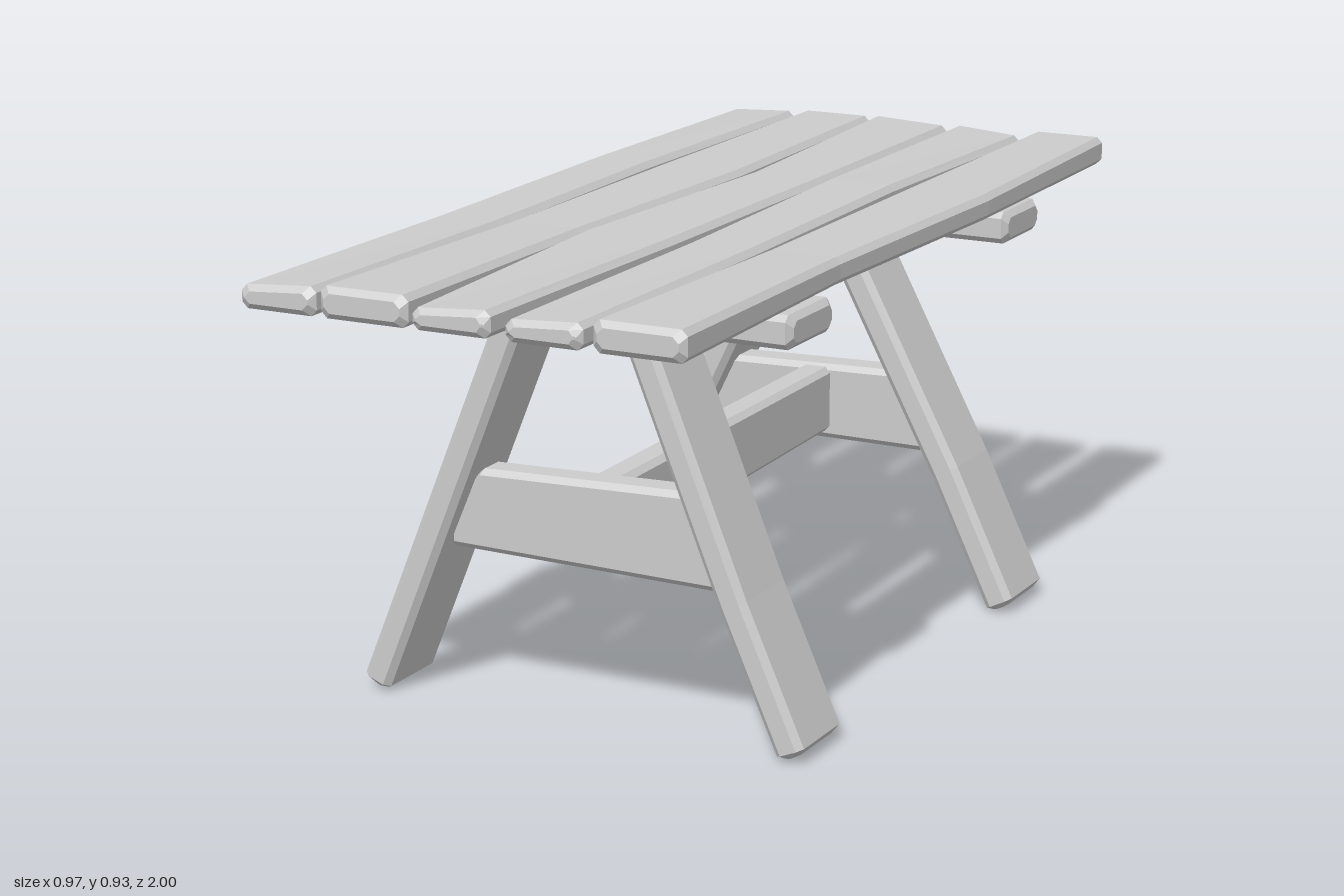
import * as THREE from 'three';

const material = new THREE.MeshStandardMaterial({ color: 0xcccccc, flatShading: true, side: THREE.DoubleSide });

// Chamfered board running along axis s through stations
// [s, a0, a1, b0, b1, skew, tilt]: a and b are the section ranges,
// skew slants the cut across a, tilt raises the top face along a.
// axes names the world axes used for a, b and s, such as 'xyz'.
function board(name, axes, stations, bevel = 0.012) {
  const ring = ([s, a0, a1, b0, b1, skew = 0, tilt = 0], inset, ds) => {
    const ac = (a0 + a1) / 2, bc = (b0 + b1) / 2, c = bevel;
    const l = a0 + inset, r = a1 - inset, d = b0 + inset, u = b1 - inset;
    const section = [[l + c, d], [r - c, d], [r, d + c], [r, u - c], [r - c, u], [l + c, u], [l, u - c], [l, d + c]];
    return section.map(([a, b]) => {
      const local = [a, b + (b > bc ? tilt * (a - ac) : 0), s + ds + skew * (a - ac)];
      return [...'xyz'].map((k) => local[axes.indexOf(k)]);
    });
  };
  const first = stations[0], last = stations[stations.length - 1];
  const rings = [
    ring(first, bevel, 0), ring(first, 0, bevel),
    ...stations.slice(1, -1).map((st) => ring(st, 0, 0)),
    ring(last, 0, -bevel), ring(last, bevel, 0),
  ];
  const flip = !['xyz', 'yzx', 'zxy'].includes(axes);
  const points = [];
  const tri = (p, q, r) => points.push(...p, ...(flip ? r : q), ...(flip ? q : r));
  for (let i = 0; i < rings.length - 1; i++) {
    for (let j = 0; j < 8; j++) {
      const k = (j + 1) % 8;
      tri(rings[i][j], rings[i][k], rings[i + 1][k]);
      tri(rings[i][j], rings[i + 1][k], rings[i + 1][j]);
    }
  }
  const end = rings[rings.length - 1];
  for (let j = 1; j < 7; j++) {
    tri(rings[0][0], rings[0][j + 1], rings[0][j]);
    tri(end[0], end[j], end[j + 1]);
  }
  const geometry = new THREE.BufferGeometry();
  geometry.setAttribute('position', new THREE.Float32BufferAttribute(points, 3));
  geometry.computeVertexNormals();
  const mesh = new THREE.Mesh(geometry, material);
  mesh.name = name;
  return mesh;
}

// Leg from foot to top; path holds [y, centre x], z0..z1 is its width
function leg(name, path, z0, z1) {
  const foot = path[0], top = path[path.length - 1];
  const slope = (top[1] - foot[1]) / (top[0] - foot[0]);
  const h = 0.0285;
  return board(name, 'xzy', path.map(([y, x]) => [y, x - h, x + h, z0, z1, -slope]));
}

export function createModel() {
  const table = new THREE.Group();
  table.name = 'picnicTable';

  // Table top: five uneven planks; x ranges, top height and tilt at four stations
  const planks = [
    [[-0.455, -0.30, 0.93, 0.05], [-0.45, -0.312, 0.932, 0], [-0.445, -0.303, 0.928, 0], [-0.457, -0.295, 0.93, 0.07]],
    [[-0.275, -0.11, 0.938, 0], [-0.288, -0.10, 0.932, 0], [-0.28, -0.118, 0.932, 0], [-0.285, -0.10, 0.94, 0]],
    [[-0.10, 0.08, 0.936, -0.05], [-0.078, 0.087, 0.932, 0], [-0.112, 0.085, 0.932, 0], [-0.092, 0.07, 0.926, 0.07]],
    [[0.10, 0.255, 0.93, -0.08], [0.095, 0.25, 0.932, 0], [0.115, 0.26, 0.93, 0], [0.10, 0.257, 0.925, 0.06]],
    [[0.288, 0.45, 0.938, 0], [0.278, 0.46, 0.932, 0], [0.282, 0.44, 0.932, 0], [0.277, 0.462, 0.94, 0]],
  ];
  const stationZ = [-1, -0.33, 0.33, 1];
  planks.forEach((plank, i) => {
    const stations = plank.map(([x0, x1, top, tilt], j) => [stationZ[j], x0, x1, 0.879, top, 0, tilt]);
    table.add(board(`plank${i + 1}`, 'xyz', stations));
  });

  // Beams across the underside of the top
  for (const [name, z0, z1] of [['frontBeam', 0.39, 0.575], ['backBeam', -0.615, -0.435]]) {
    table.add(board(name, 'yzx', [[-0.465, 0.81, 0.864, z0, z1], [0.457, 0.807, 0.873, z0, z1]]));
  }

  // Splayed legs, the back pair meeting closer together at the top
  table.add(
    leg('frontRightLeg', [[0.016, -0.457], [0.8, -0.146]], 0.395, 0.575),
    leg('frontLeftLeg', [[0.016, 0.455], [0.3, 0.334], [0.8, 0.137]], 0.395, 0.575),
    leg('backRightLeg', [[0.016, -0.455], [0.3, -0.314], [0.8, -0.077]], -0.615, -0.435),
    leg('backLeftLeg', [[0.016, 0.455], [0.3, 0.325], [0.8, 0.067]], -0.615, -0.435),
  );

  // Cross stretchers between each pair of legs, ends cut to the leg angle
  table.add(
    board('frontStretcher', 'yzx', [[-0.268, 0.322, 0.488, 0.47, 0.545, 0.43], [0.262, 0.312, 0.5, 0.47, 0.545, -0.4]]),
    board('backStretcher', 'yzx', [[-0.25, 0.328, 0.485, -0.565, -0.485, 0.48], [0.255, 0.325, 0.495, -0.565, -0.485, -0.48]]),
  );

  // Long rail joining the two cross stretchers
  table.add(board('longRail', 'xyz', [[-0.5, -0.035, 0.035, 0.343, 0.485], [0.485, -0.035, 0.035, 0.323, 0.478]]));

  return table;
}
